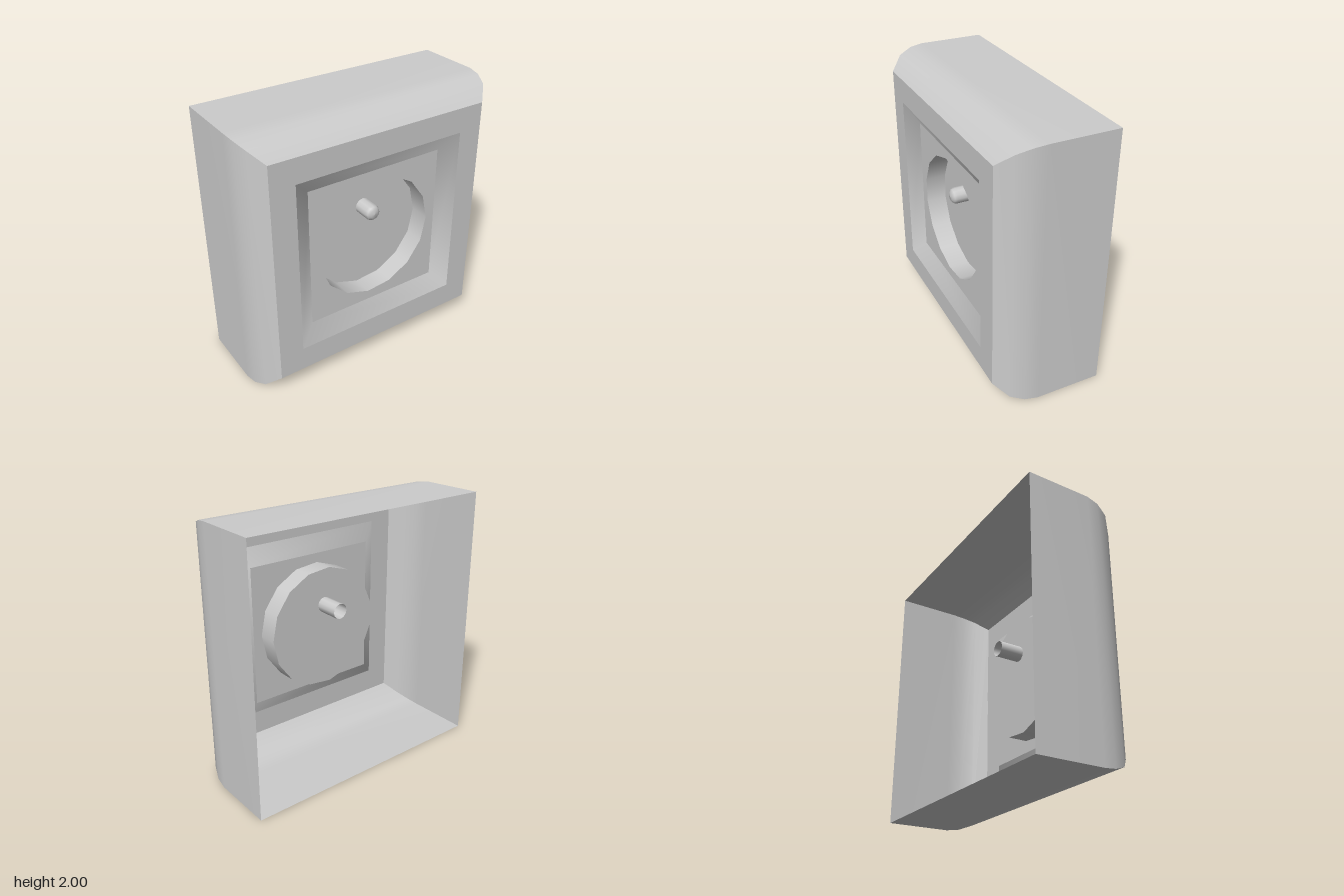
import * as THREE from 'three';

const FRONT = 0.395, RECESS = 0.315, FLOOR = 0.16, SIDES = 15, CUP_R = 0.475;
const material = new THREE.MeshStandardMaterial({ color: 0xcccccc, side: THREE.DoubleSide });

function add(parent, name, geometry, z = 0, y = 0) {
  const mesh = new THREE.Mesh(geometry, material);
  mesh.name = name;
  mesh.position.set(0, y, z);
  parent.add(mesh);
  return mesh;
}

// Regular polygon outline with its first corner at the given angle
function polygon(radius, sides, start) {
  return Array.from({ length: sides }, (_, i) => {
    const a = start + (i / sides) * Math.PI * 2;
    return new THREE.Vector2(radius * Math.cos(a), radius * Math.sin(a));
  });
}
const square = (half) => polygon(half * Math.SQRT2, 4, Math.PI / 4);

function plate(outline, hole) {
  const shape = new THREE.Shape(outline);
  shape.holes.push(new THREE.Path(hole));
  return new THREE.ShapeGeometry(shape);
}

// Open ring of wall whose axis runs along z
function ring(rFront, rBack, zFront, zBack, sides, start) {
  return new THREE.CylinderGeometry(rFront, rBack, zFront - zBack, sides, 1, true, start)
    .rotateX(Math.PI / 2)
    .translate(0, 0, (zFront + zBack) / 2);
}

// One mitred wall, swept from the open back to the rounded front edge
function wallGeometry() {
  const profile = [[1, -FRONT], [1, 0.1], [0.987, 0.2], [0.95, 0.3], [0.862, FRONT]];
  const positions = [], index = [];
  profile.forEach(([r, z], i) => {
    positions.push(-r, r, z, r, r, z);
    if (i > 0) {
      const a = 2 * i - 2;
      index.push(a, a + 2, a + 1, a + 1, a + 2, a + 3);
    }
  });
  const g = new THREE.BufferGeometry();
  g.setAttribute('position', new THREE.Float32BufferAttribute(positions, 3));
  g.setIndex(index);
  g.computeVertexNormals();
  return g;
}

export function createModel() {
  const model = new THREE.Group();
  model.name = 'wallSocket';
  const body = new THREE.Group();
  body.name = 'socketBody';
  body.position.y = 1;
  model.add(body);

  // Four side walls, open at the back
  const wall = wallGeometry();
  ['topWall', 'rightWall', 'bottomWall', 'leftWall'].forEach((name, i) => {
    add(body, name, wall).rotation.z = (i * Math.PI) / 2;
  });

  // Front plate with a sloped square recess
  add(body, 'frontPlate', plate(square(0.862), square(0.675)), FRONT);
  add(body, 'recessSlope',
    ring(0.675 * Math.SQRT2, 0.545 * Math.SQRT2, FRONT, RECESS, 4, Math.PI / 4));
  add(body, 'recessPlate', plate(square(0.545), polygon(CUP_R, SIDES, 0)), RECESS);

  // Round plug well
  add(body, 'wellWall', ring(CUP_R, CUP_R, RECESS, FLOOR, SIDES, Math.PI / 2));
  add(body, 'wellFloor', new THREE.CircleGeometry(CUP_R, SIDES), FLOOR);

  // Round-nosed earth pin, hollow and open at the back
  const pin = [[0.06, -0.03], [0.06, 0.275], [0.052, 0.295], [0.032, 0.308], [0, 0.313]]
    .map(([r, z]) => new THREE.Vector2(r, z));
  add(body, 'earthPin', new THREE.LatheGeometry(pin, 12).rotateX(Math.PI / 2), 0, 0.185);

  return model;
}
